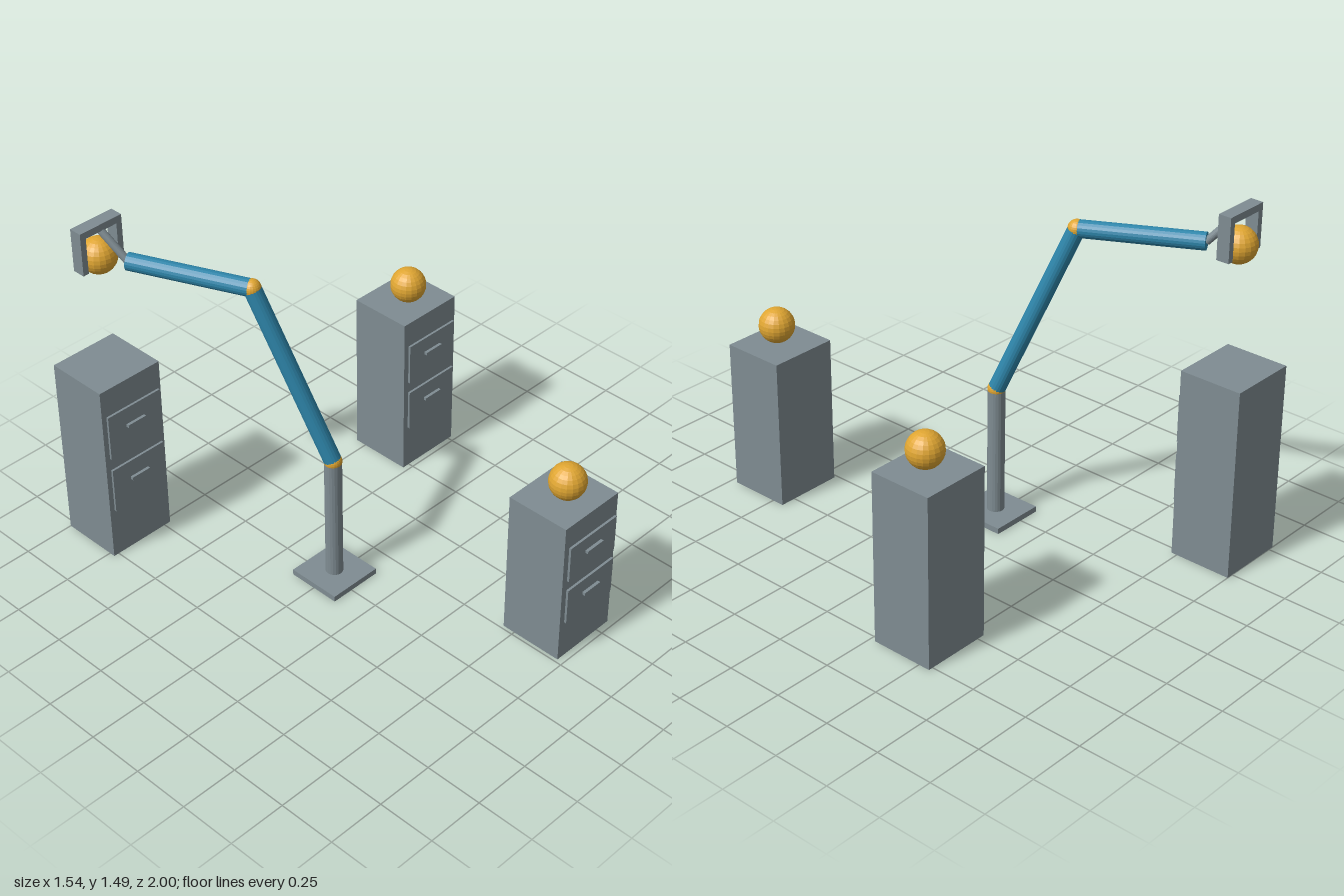
import * as THREE from 'three';

const gray = new THREE.MeshStandardMaterial({ color: 0x7f8c92 });
gray.name = 'steel gray';
const blue = new THREE.MeshStandardMaterial({ color: 0x2e86ab });
blue.name = 'arm blue';
const amber = new THREE.MeshStandardMaterial({ color: 0xe0a632 });
amber.name = 'amber';

// Faceted normals for round parts
function faceted(geometry) {
  const g = geometry.toNonIndexed();
  g.computeVertexNormals();
  return g;
}

function add(parent, name, geometry, material, x, y, z) {
  const mesh = new THREE.Mesh(geometry, material);
  mesh.name = name;
  mesh.position.set(x, y, z);
  parent.add(mesh);
  return mesh;
}

const box = (parent, name, w, h, d, x, y, z) =>
  add(parent, name, new THREE.BoxGeometry(w, h, d), gray, x, y, z);

const ball = (parent, name, r, p) =>
  add(parent, name, faceted(new THREE.SphereGeometry(r, 20, 14)), amber, p.x, p.y, p.z);

// Cylinder running from point a to point b
function rod(parent, name, a, b, r, material) {
  const dir = b.clone().sub(a);
  const mid = a.clone().add(b).multiplyScalar(0.5);
  const geometry = faceted(new THREE.CylinderGeometry(r, r, dir.length(), 20));
  const mesh = add(parent, name, geometry, material, mid.x, mid.y, mid.z);
  mesh.quaternion.setFromUnitVectors(new THREE.Vector3(0, 1, 0), dir.normalize());
  return mesh;
}

// Pedestal with two drawers; z is its centre
function createCabinet(name, x, z, h) {
  const cabinet = new THREE.Group();
  cabinet.name = name;
  cabinet.position.set(x, 0, z);
  const w = 0.304, d = 0.276, front = d / 2;
  box(cabinet, 'cabinetBody', w, h, d, 0, h / 2, 0);
  for (const [label, level] of [['lower', 0.41], ['upper', 0.73]]) {
    const y = h * level;
    box(cabinet, label + 'DrawerFront', w * 0.88, h * 0.25, 0.01, 0, y, front + 0.011);
    box(cabinet, label + 'DrawerHandle', 0.091, 0.013, 0.013, 0, y + h * 0.025, front + 0.0225);
  }
  return cabinet;
}

function createArm() {
  const arm = new THREE.Group();
  arm.name = 'robotArm';
  const v = (x, y, z) => new THREE.Vector3(x, y, z);
  const foot = v(-0.228, 0.025, 0);
  const shoulder = v(-0.228, 0.582, 0);
  const elbow = v(-0.36, 1.322, -0.283);
  const wrist = v(-0.573, 1.335, -0.737);
  const hand = v(-0.618, 1.457, -0.838);

  // Base and links
  box(arm, 'basePlate', 0.236, 0.025, 0.236, foot.x, 0.0125, 0);
  rod(arm, 'column', foot, shoulder, 0.036, gray);
  rod(arm, 'upperArm', shoulder, elbow, 0.036, blue);
  rod(arm, 'forearm', elbow, wrist, 0.036, blue);
  rod(arm, 'wristRod', wrist, hand, 0.016, gray);
  ball(arm, 'shoulderJoint', 0.037, shoulder);
  ball(arm, 'elbowJoint', 0.037, elbow);

  // Gripper holding a ball
  const gx = -0.624, gz = -0.847;
  box(arm, 'gripperBar', 0.202, 0.03, 0.056, gx, 1.471, gz);
  for (const s of [-1, 1])
    box(arm, s < 0 ? 'rightFinger' : 'leftFinger', 0.026, 0.158, 0.056, gx + s * 0.088, 1.379, gz);
  ball(arm, 'heldBall', 0.075, v(gx, 1.338, gz));
  return arm;
}

export function createModel() {
  const model = new THREE.Group();
  model.name = 'robotArmWithCabinets';
  model.add(createArm());

  // Cabinets: x, z, height, ball on top
  const cabinets = [
    ['backCabinet', -0.622, -0.862, 0.822, false],
    ['frontCabinet', 0.167, 0.833, 0.652, true],
    ['sideCabinet', 0.618, -0.412, 0.737, true],
  ];
  for (const [name, x, z, h, hasBall] of cabinets) {
    const cabinet = createCabinet(name, x, z, h);
    if (hasBall) ball(cabinet, 'ball', 0.075, new THREE.Vector3(0, h + 0.076, 0.014));
    model.add(cabinet);
  }
  return model;
}
